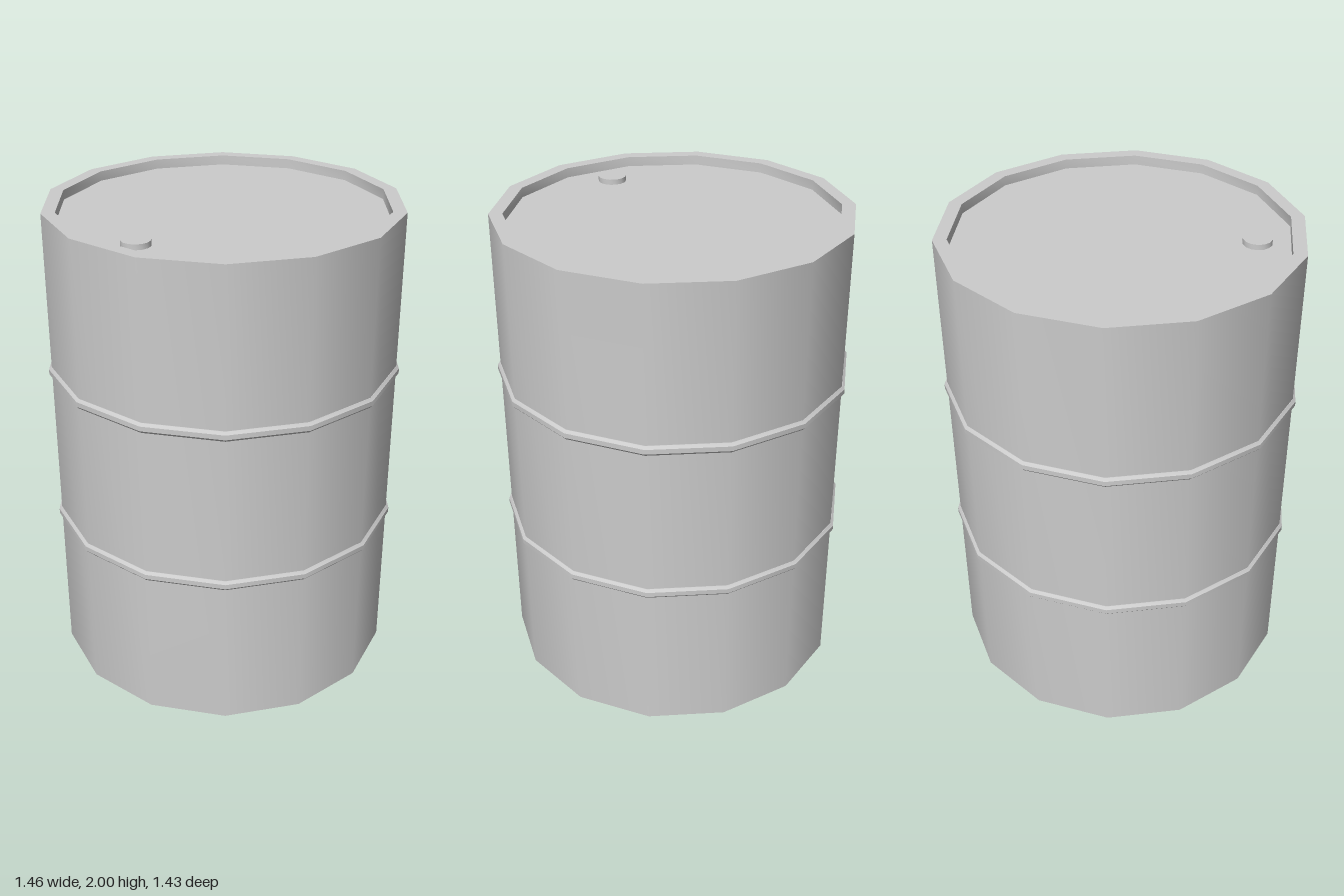
import * as THREE from 'three';
import { toCreasedNormals } from 'three/addons/utils/BufferGeometryUtils.js';

const SIDES = 14;

export function createModel() {
  const group = new THREE.Group();
  const material = new THREE.MeshStandardMaterial({ color: 0xcccccc });

  // Revolve a [radius, height] profile, smooth around and sharp at its corners
  const revolve = (name, profile, sides = SIDES) => {
    const points = profile.map(([r, y]) => new THREE.Vector2(r, y));
    const lathe = new THREE.LatheGeometry(points, sides, Math.PI / 2);
    const mesh = new THREE.Mesh(toCreasedNormals(lathe, 0.6), material);
    mesh.name = name;
    group.add(mesh);
    return mesh;
  };

  // Drum body with a recessed lid and a recessed base
  const R = 0.72, inner = 0.665, recess = 0.04, H = 2;
  revolve('drumBody', [
    [0, recess], [inner, recess], [inner, 0], [R, 0],
    [R, H], [inner, H], [inner, H - recess], [0, H - recess],
  ]);

  // Two bevelled hoops at the thirds of the height
  ['lowerHoop', 'upperHoop'].forEach((name, i) => {
    const hoop = revolve(name, [
      [0.71, -0.021], [0.722, -0.021], [0.732, -0.01],
      [0.732, 0.01], [0.722, 0.021], [0.71, 0.021],
    ]);
    hoop.position.y = (H * (i + 1)) / 3;
  });

  // Filler cap on the lid
  const cap = revolve('fillerCap', [[0.058, 0], [0.058, 0.022], [0, 0.022]], 14);
  cap.position.set(0, H - recess, 0.52);

  return group;
}
